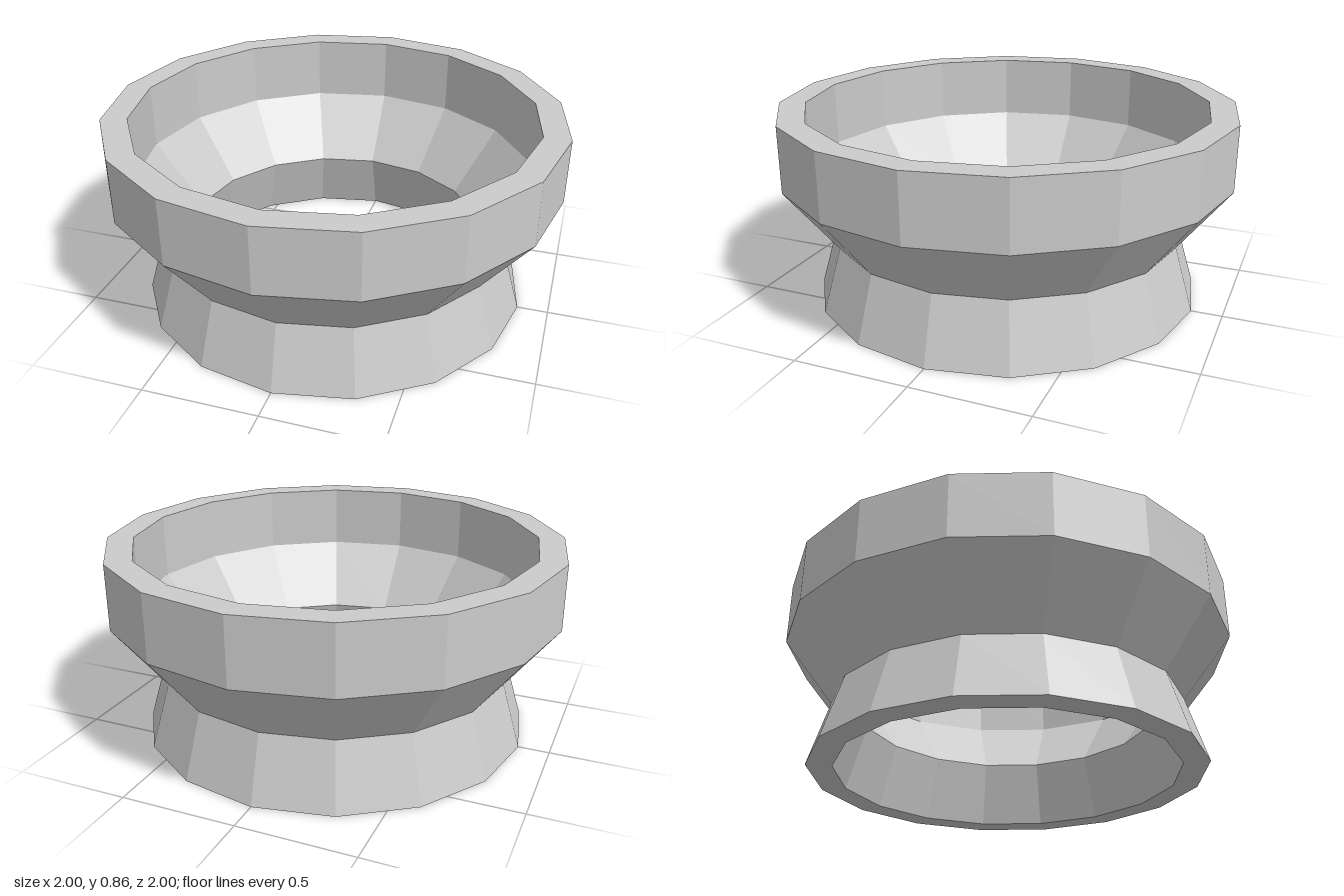
import * as THREE from 'three';

export function createModel() {
  const group = new THREE.Group();
  const material = new THREE.MeshStandardMaterial({ color: 0xcccccc, flatShading: true });

  // Closed wall section: up the outside, over the rim, down the inside, across the foot
  const section = [
    [0.865, 0], [0.78, 0.287], [1, 0.57], [1, 0.855],
    [0.885, 0.855], [0.885, 0.57], [0.667, 0.287], [0.752, 0], [0.865, 0],
  ].map(([radius, y]) => new THREE.Vector2(radius, y));

  // Sixteen-sided open ring with a flared foot, narrow waist and upright rim
  const ring = new THREE.Mesh(new THREE.LatheGeometry(section, 16), material);
  ring.name = 'flaredRing';
  group.add(ring);
  return group;
}
